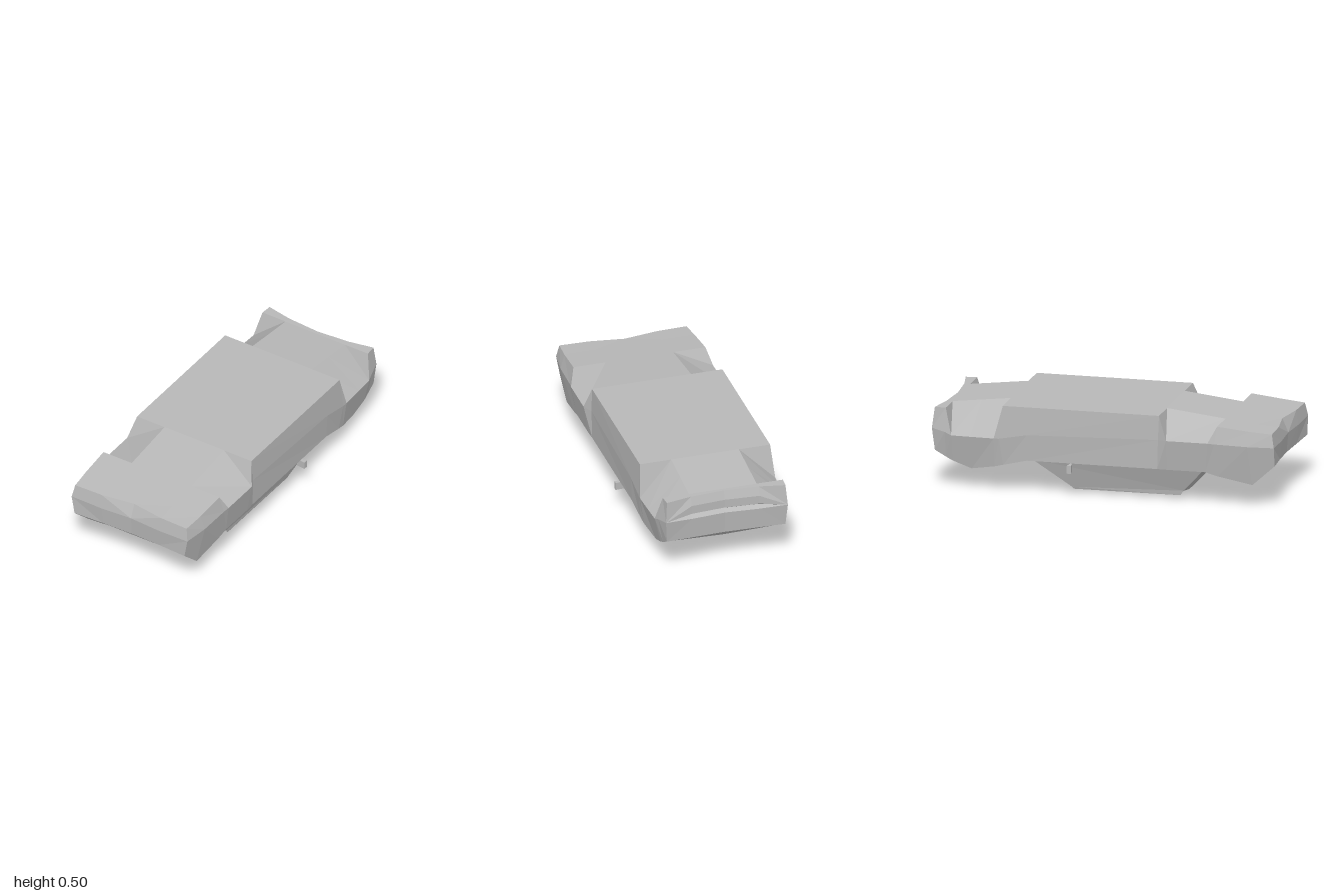
import * as THREE from 'three';

// Skins a grid of right-to-centre points and its mirror image across x = 0.
function skin(grids) {
  const pos = [];
  const tri = (a, b, c) => {
    const [A, B, C] = [a, b, c].map((p) => new THREE.Vector3(...p));
    if (B.sub(A).cross(C.sub(A)).length() < 1e-7) return;
    pos.push(...a, ...b, ...c);
    for (const p of [a, c, b]) pos.push(-p[0], p[1], p[2]);
  };
  for (const g of grids)
    for (let i = 0; i + 1 < g.length; i++)
      for (let j = 0; j + 1 < g[i].length; j++) {
        const a = g[i][j], b = g[i][j + 1], c = g[i + 1][j + 1], d = g[i + 1][j];
        tri(a, b, c);
        tri(a, c, d);
      }
  const geo = new THREE.BufferGeometry();
  geo.setAttribute('position', new THREE.Float32BufferAttribute(pos, 3));
  geo.computeVertexNormals();
  return geo;
}

// Section: floor centre, floor inner, floor edge, side crease, lower edge, deck inner, deck centre.
function section(floorY, floorZ, edge, crease, low, deckInner, deckCentre) {
  return [
    [0, floorY, floorZ], [0.2, floorY, floorZ], edge, crease, low,
    [0.19, ...deckInner], [0, ...deckCentre],
  ];
}

function bodyGeometry() {
  const frontArch = [[0.42, 0.365, 0.62], [0.42, 0.365, 0.38]];
  const rearArch = [[0.40, 0.31, -0.63], [0.395, 0.31, -0.77], [0.39, 0.31, -0.88]];
  const nose = [
    [0, 0.43, 0.95], [0.2, 0.43, 0.98], [0.375, 0.43, 0.985], [0.39, 0.355, 1],
    [0.37, 0.245, 1], [0.19, 0.24, 0.985], [0, 0.235, 0.975],
  ];
  const tail = [
    [0, 0.46, -0.94], [0.2, 0.46, -0.955], [0.35, 0.46, -0.985], [0.36, 0.34, -1],
    [0.35, 0.21, -0.985], [0.19, 0.205, -0.97], [0, 0.2, -0.955],
  ];
  const stations = [
    nose,
    section(0.44, 0.86, [0.385, 0.44, 0.86], [0.41, 0.357, 0.85], [0.368, 0.127, 0.87], [0.138, 0.87], [0.11, 0.84]),
    // front wheel arch: the floor edge drops onto the side crease
    section(0.46, 0.67, [0.39, 0.46, 0.67], [0.415, 0.362, 0.66], [0.385, 0.17, 0.67], [0.165, 0.67], [0.165, 0.67]),
    section(0.46, 0.67, frontArch[0], frontArch[0], [0.39, 0.19, 0.6], [0.19, 0.6], [0.19, 0.6]),
    section(0.5, 0.33, frontArch[1], frontArch[1], [0.39, 0.19, 0.38], [0.19, 0.38], [0.19, 0.38]),
    section(0.5, 0.33, [0.385, 0.5, 0.33], [0.39, 0.36, 0.325], [0.387, 0.19, 0.32], [0.19, 0.32], [0.19, 0.32]),
    section(0.5, -0.44, [0.385, 0.5, -0.44], [0.395, 0.34, -0.44], [0.387, 0.19, -0.44], [0.19, -0.44], [0.19, -0.44]),
    section(0.5, -0.58, [0.385, 0.5, -0.58], [0.398, 0.31, -0.6], [0.38, 0.155, -0.58], [0.153, -0.58], [0.15, -0.58]),
    // rear wheel arch
    section(0.5, -0.58, rearArch[0], rearArch[0], [0.375, 0.142, -0.63], [0.14, -0.63], [0.138, -0.63]),
    section(0.48, -0.75, rearArch[1], rearArch[1], [0.35, 0.115, -0.77], [0.11, -0.78], [0.105, -0.79]),
    section(0.46, -0.92, rearArch[2], rearArch[2], [0.355, 0.155, -0.88], [0.15, -0.88], [0.145, -0.88]),
    section(0.46, -0.92, [0.355, 0.46, -0.92], [0.38, 0.325, -0.92], [0.353, 0.175, -0.92], [0.17, -0.92], [0.165, -0.92]),
    tail,
  ];
  // nose face with its raised zigzag band
  const noseFace = [
    [nose[6], nose[5], nose[4]],
    [[0, 0.35, 0.985], [0.19, 0.348, 0.995], nose[3]],
    nose.slice(0, 3),
  ];
  // tail face with a slim grille slot that closes at the corners
  const tailRow = (y, z) => [[0, y, z], [0.2, y, z - 0.015], tail[3]];
  const tailFace = [
    tail.slice(0, 3), tailRow(0.41, -0.96), tailRow(0.36, -0.96),
    tailRow(0.345, -0.935), tailRow(0.33, -0.965), [tail[6], tail[5], tail[4]],
  ];
  return skin([stations, noseFace, tailFace]);
}

function cabinGeometry() {
  // rings run from the +z centre round the side to the -z centre
  const belt = [[0, 0.19, 0.6], [0.2, 0.19, 0.6], [0.345, 0.19, 0.58], [0.345, 0.19, -0.42], [0.2, 0.18, -0.48], [0, 0.175, -0.49]];
  const rim = [[0, 0.025, 0.45], [0.16, 0.026, 0.45], [0.292, 0.048, 0.45], [0.292, 0.03, -0.2], [0.16, 0.018, -0.21], [0, 0.018, -0.21]];
  const edge = [[0, 0.002, 0.28], [0.16, 0.002, 0.28], [0.288, 0.02, 0.43], [0.288, 0.018, -0.19], [0.16, 0, -0.2], [0, 0, -0.2]];
  const roof = [[edge[5], edge[4], edge[3]], edge.slice(0, 3)];
  return skin([[edge, rim, belt], roof]);
}

export function createModel() {
  const model = new THREE.Group();
  model.name = 'overturnedCar';
  const grey = new THREE.MeshStandardMaterial({ color: 0xb8b8b8 });
  grey.name = 'bodyGrey';
  const add = (geo, name) => {
    const mesh = new THREE.Mesh(geo, grey);
    mesh.name = name;
    model.add(mesh);
    return mesh;
  };

  add(bodyGeometry(), 'body');
  add(cabinGeometry(), 'cabin');

  // side mirrors, tapered toward the body
  for (const [side, name] of [[1, 'leftMirror'], [-1, 'rightMirror']]) {
    const geo = new THREE.BoxGeometry(0.055, 0.045, 0.025);
    const p = geo.attributes.position;
    for (let i = 0; i < p.count; i++)
      if (p.getX(i) * side < 0) p.setZ(i, p.getZ(i) * 0.5);
    geo.computeVertexNormals();
    add(geo, name).position.set(side * 0.383, 0.158, -0.19);
  }
  return model;
}
